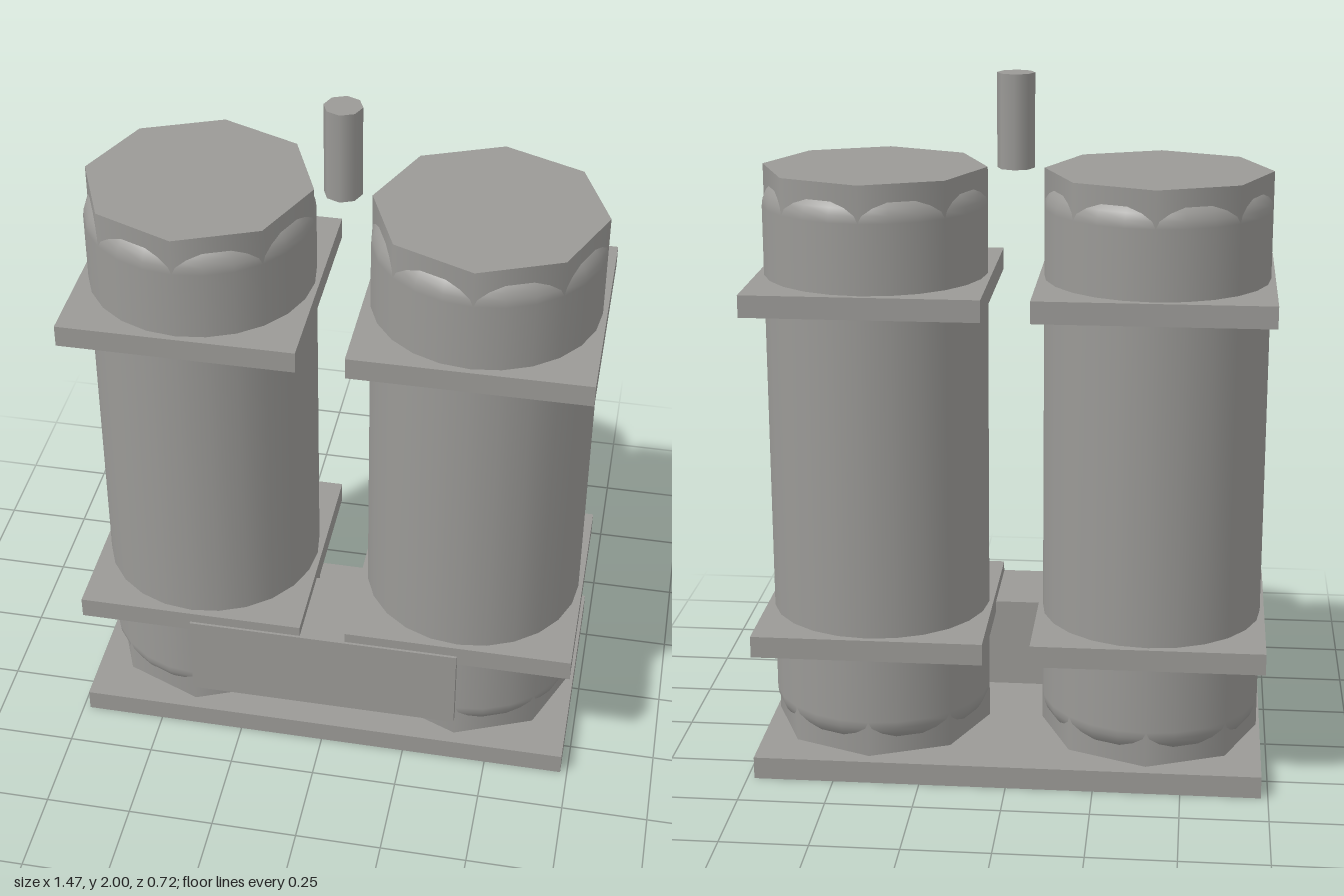
import * as THREE from 'three';

export function createModel() {
  const model = new THREE.Group();
  model.name = 'twinTankSkid';
  const grey = new THREE.MeshStandardMaterial({ color: 0x9a9996 });
  grey.name = 'warm grey';

  const add = (name, geometry, x, y, z, parent = model) => {
    const mesh = new THREE.Mesh(geometry, grey);
    mesh.name = name;
    mesh.position.set(x, y, z);
    parent.add(mesh);
  };
  const box = (w, h, d) => new THREE.BoxGeometry(w, h, d);

  // Round shell with softly rounded ends, revolved from bottom to top
  const radius = 0.32, corner = 0.08, low = 0.09, high = 1.71, steps = 6;
  const profile = [new THREE.Vector2(0, low)];
  for (let i = 0; i <= steps; i++) {
    const a = (i / steps) * Math.PI / 2;
    profile.push(new THREE.Vector2(radius - corner + corner * Math.sin(a), low + corner - corner * Math.cos(a)));
  }
  for (let i = 0; i <= steps; i++) {
    const a = (i / steps) * Math.PI / 2;
    profile.push(new THREE.Vector2(radius - corner + corner * Math.cos(a), high - corner + corner * Math.sin(a)));
  }
  profile.push(new THREE.Vector2(0, high));
  const shell = new THREE.LatheGeometry(profile, 24);

  // Octagonal core whose ends form the flat caps
  const core = new THREE.CylinderGeometry(radius, radius, 1.67, 8);

  // Base plate
  add('basePlate', box(1.46, 0.065, 0.72), 0, 0.0325, 0);

  // Two tanks, each clamped by two square plates
  for (const side of [-1, 1]) {
    const tank = new THREE.Group();
    tank.name = side < 0 ? 'rightTank' : 'leftTank';
    tank.position.x = 0.4 * side;
    model.add(tank);
    add('tankShell', shell, 0, 0, 0, tank);
    add('tankCore', core, 0, 0.9, 0, tank);
    for (const y of [0.4, 1.4]) add('clampPlate', box(0.665, 0.063, 0.675), 0, y, 0, tank);
  }

  // Front control box bridging the tanks
  add('controlBox', box(0.8, 0.265, 0.267), 0, 0.2675, 0.2115);

  // Pipe stub between the tank tops
  add('pipeStub', new THREE.CylinderGeometry(0.053, 0.053, 0.265, 8), 0, 1.8675, 0);
  return model;
}
